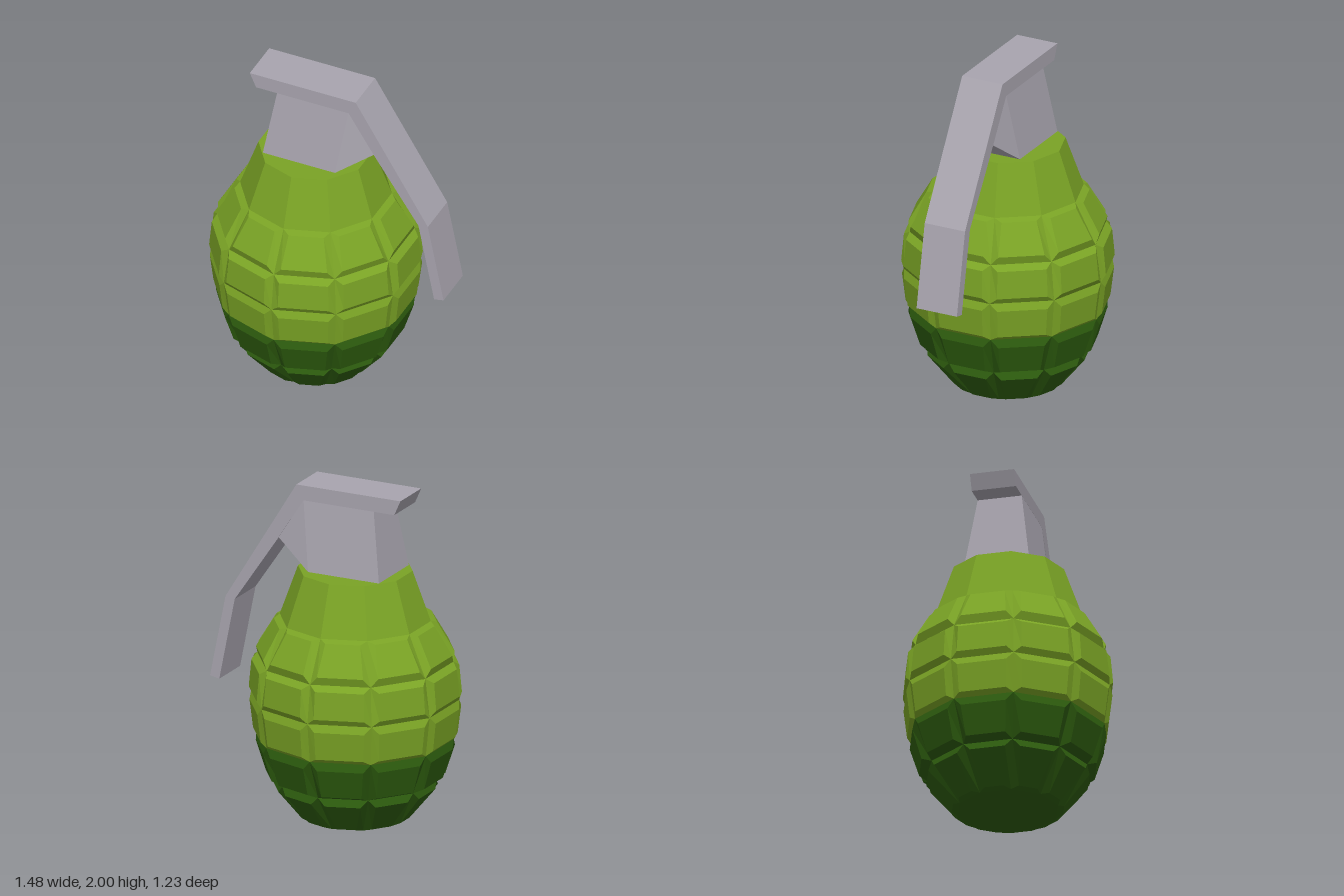
import * as THREE from 'three';

const SIDES = 10;
const STEP = (Math.PI * 2) / SIDES;
const TAN = Math.tan(STEP / 2);
const COS = Math.cos(STEP / 2);
const GROOVE = 0.047; // half width of the vertical grooves

function material(name, color) {
  const m = new THREE.MeshStandardMaterial({ color, flatShading: true });
  m.name = name;
  return m;
}

// Mesh from flat polygons, each a counter-clockwise list of [x, y, z]
function polygonMesh(name, polygons, mat) {
  const pos = [];
  for (const p of polygons) {
    for (let i = 1; i < p.length - 1; i++) pos.push(...p[0], ...p[i], ...p[i + 1]);
  }
  const g = new THREE.BufferGeometry();
  g.setAttribute('position', new THREE.Float32BufferAttribute(pos, 3));
  g.computeVertexNormals();
  return named(name, g, mat);
}

function named(name, geometry, mat) {
  const mesh = new THREE.Mesh(geometry, mat);
  mesh.name = name;
  return mesh;
}

// Four corners of a panel on one facet; edges are [y, distance from axis]
function panelCorners(angle, top, bottom, inset) {
  const s = Math.sin(angle), c = Math.cos(angle);
  const at = ([y, a], baseA, side) => {
    const w = side * (baseA * TAN - inset);
    return [a * s + w * c, y, a * c - w * s];
  };
  return [
    at(bottom, bottom[1], -1), at(bottom, bottom[1], 1),
    at(top, top[1], 1), at(top, top[1], -1),
  ];
}

// A ring of raised panels with bevelled borders
function panelRow(name, row, mat) {
  const polys = [];
  for (let i = 0; i < SIDES; i++) {
    const angle = (i + 0.5) * STEP;
    const base = panelCorners(angle, row.base[0], row.base[1], 0);
    const face = panelCorners(angle, row.face[0], row.face[1], GROOVE);
    polys.push(face);
    for (let k = 0; k < 4; k++) {
      const n = (k + 1) % 4;
      polys.push([base[k], base[n], face[n], face[k]]);
    }
  }
  return polygonMesh(name, polys, mat);
}

export function createModel() {
  const light = material('light green', 0x7aa325);
  const dark = material('dark green', 0x2d5c0e);
  const metal = material('grey metal', 0xa8a4ae);

  const model = new THREE.Group();
  model.name = 'grenade';

  // Body: groove rings and raised panel edges, from the top down
  const body = new THREE.Group();
  body.name = 'body';
  body.position.x = -0.14;
  const rings = [[1.2, 0.42], [0.96, 0.545], [0.73, 0.578], [0.49, 0.548], [0.24, 0.45], [0, 0.285]];
  const faces = [
    [[1.185, 0.46], [1.01, 0.56]],
    [[0.93, 0.585], [0.765, 0.6]],
    [[0.685, 0.596], [0.515, 0.576]],
    [[0.44, 0.561], [0.265, 0.507]],
    [[0.195, 0.466], [0.012, 0.322]],
  ];
  faces.forEach((face, i) => {
    const row = { base: [rings[i], rings[i + 1]], face };
    body.add(panelRow(`panelRow${i + 1}`, row, i < 3 ? light : dark));
  });

  // Tapered neck, with its flat top
  const neck = named('neck', new THREE.CylinderGeometry(0.335, 0.42 / COS, 0.3, SIDES), light);
  neck.position.y = 1.35;
  body.add(neck);

  // Flat underside
  const under = new THREE.CircleGeometry(0.285 / COS, SIDES, Math.PI / 2);
  under.rotateX(Math.PI / 2);
  body.add(named('underside', under, dark));
  model.add(body);

  // Fuse head: wide at the foot, narrowing up to the lever
  const outline = [
    [0.07, 1.5, 0.19], [0.29, 1.66, 0.13], [0.13, 1.92, 0.13],
    [-0.325, 1.92, 0.13], [-0.39, 1.5, 0.19],
  ];
  const back = outline.map(([x, y, z]) => [x, y, -z]);
  const head = [outline, [back[0], ...back.slice(1).reverse()]];
  outline.forEach((p, i) => {
    const n = (i + 1) % outline.length;
    head.push([p, back[i], back[n], outline[n]]);
  });
  model.add(polygonMesh('fuseHead', head, metal));

  // Bent safety lever
  const leverShape = new THREE.Shape([
    [-0.5, 2], [-0.46, 1.91], [0.13, 1.91], [0.29, 1.66], [0.575, 1.24],
    [0.675, 0.74], [0.735, 0.752], [0.635, 1.25], [0.175, 2],
  ].map(([x, y]) => new THREE.Vector2(x, y)));
  const lever = new THREE.ExtrudeGeometry(leverShape, { depth: 0.264, bevelEnabled: false });
  lever.translate(0, 0, -0.132);
  model.add(named('lever', lever, metal));

  return model;
}
